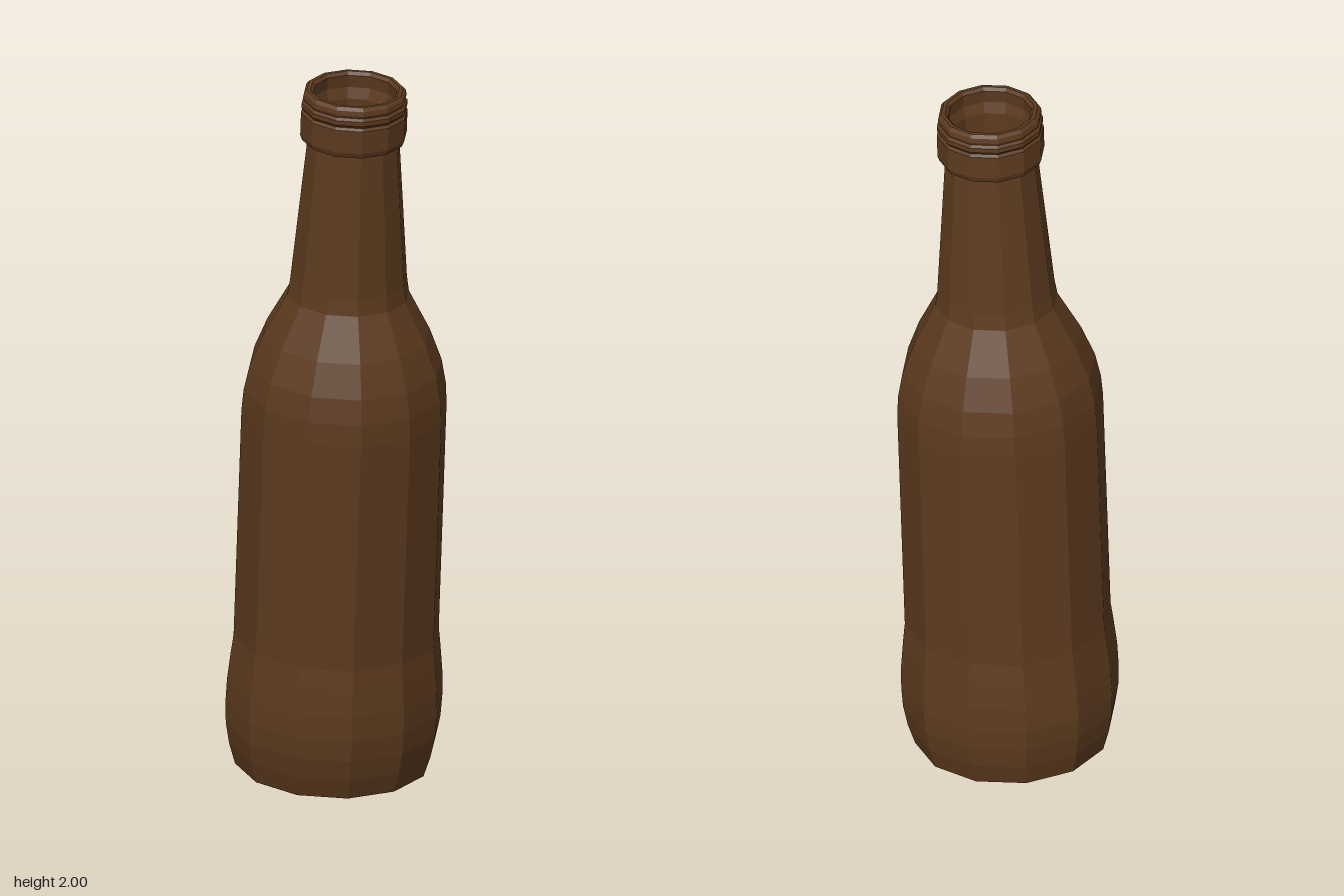
import * as THREE from 'three';

const SIDES = 12;
const glass = new THREE.MeshStandardMaterial({ color: 0x5c3a1e, flatShading: true });

// Revolves [radius, height] pairs into a named twelve-sided part
function turned(name, profile) {
  const points = profile.map(([r, h]) => new THREE.Vector2(r, h));
  const mesh = new THREE.Mesh(new THREE.LatheGeometry(points, SIDES), glass);
  mesh.name = name;
  return mesh;
}

export function createModel() {
  const bottle = new THREE.Group();
  bottle.name = 'bottle';

  // Hollowed underside
  bottle.add(turned('base', [[0, 0.03], [0.19, 0.03], [0.25, 0], [0.265, 0]]));

  // Bulging foot, straight label area and rounded shoulder
  bottle.add(turned('body', [
    [0.265, 0], [0.283, 0.06], [0.294, 0.12], [0.297, 0.18], [0.295, 0.25],
    [0.287, 0.33], [0.281, 0.38], [0.281, 1.04], [0.277, 1.1],
    [0.263, 1.17], [0.228, 1.26], [0.167, 1.375],
  ]));

  // Tapering neck
  bottle.add(turned('neck', [[0.167, 1.375], [0.16, 1.42], [0.126, 1.83]]));

  // Collar with two grooves and a rounded rim
  bottle.add(turned('lip', [
    [0.126, 1.83], [0.14, 1.83], [0.146, 1.845], [0.146, 1.91], [0.139, 1.917],
    [0.145, 1.925], [0.145, 1.938], [0.138, 1.945], [0.142, 1.953],
    [0.14, 1.966], [0.132, 1.975], [0.122, 1.975], [0.114, 1.966],
  ]));

  // Inside wall and floor
  bottle.add(turned('interior', [
    [0.114, 1.966], [0.118, 1.93], [0.108, 1.9], [0.108, 1.83], [0.148, 1.41],
    [0.21, 1.25], [0.26, 1.06], [0.262, 0.38], [0.275, 0.18],
    [0.25, 0.045], [0.19, 0.06], [0, 0.06],
  ]));

  // The bottle leans slightly
  bottle.rotation.set(0.013, 0, -0.066);
  bottle.position.set(-0.035, 0.018, 0);

  const model = new THREE.Group();
  model.name = 'leaningBottle';
  model.add(bottle);
  return model;
}
